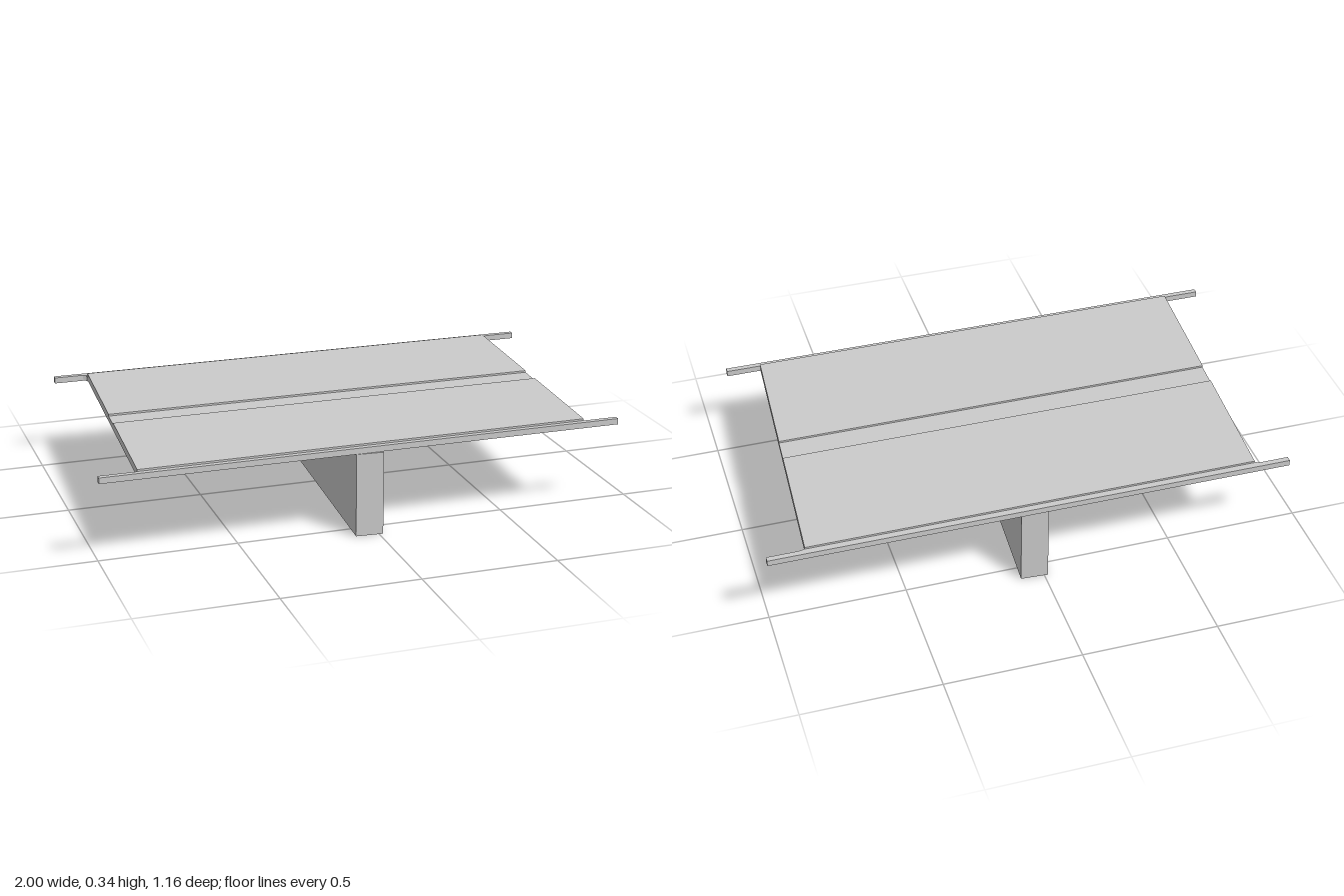
import * as THREE from 'three';

const BOTTOM = 0.308, BEAM_TOP = 0.33, DECK_TOP = 0.337;
const SKEW = 0.06; // sideways shift of the deck per unit of depth

export function createModel() {
  const model = new THREE.Group();
  const material = new THREE.MeshStandardMaterial({ color: 0xcccccc, flatShading: true });

  function add(name, geometry) {
    const mesh = new THREE.Mesh(geometry, material);
    mesh.name = name;
    model.add(mesh);
    return mesh;
  }

  function addBox(name, x0, x1, y0, y1, z0, z1) {
    const mesh = add(name, new THREE.BoxGeometry(x1 - x0, y1 - y0, z1 - z0));
    mesh.position.set((x0 + x1) / 2, (y0 + y1) / 2, (z0 + z1) / 2);
    return mesh;
  }

  // Deck slab: cross-section with a shallow central channel, swept in x and skewed
  const section = new THREE.Shape([
    [-0.551, BOTTOM], [0.556, BOTTOM], [0.556, DECK_TOP], [0.047, DECK_TOP],
    [0.047, BEAM_TOP], [-0.053, BEAM_TOP], [-0.053, DECK_TOP], [-0.551, DECK_TOP],
  ].map(([x, y]) => new THREE.Vector2(x, y)));
  const deck = new THREE.ExtrudeGeometry(section, { depth: 1.66, bevelEnabled: false });
  deck.translate(0, 0, -0.83).rotateY(Math.PI / 2);
  const p = deck.attributes.position;
  for (let i = 0; i < p.count; i++) p.setX(i, p.getX(i) - SKEW * p.getZ(i));
  deck.computeVertexNormals();
  add('deck', deck);

  // Edge beams overhanging the deck at both ends
  addBox('frontEdgeBeam', -1, 0.926, BOTTOM, BEAM_TOP, 0.551, 0.571);
  addBox('backEdgeBeam', -0.924, 1, BOTTOM, BEAM_TOP, -0.581, -0.56);

  // Strip joining deck and back beam, with small corner gussets
  const strip = new THREE.Shape([
    [-0.798, 0.545], [0.862, 0.545], [0.866, 0.556], [0.89, 0.561], [-0.815, 0.561], [-0.8, 0.554],
  ].map(([x, y]) => new THREE.Vector2(x, y)));
  const joint = new THREE.ExtrudeGeometry(strip, { depth: BEAM_TOP - BOTTOM, bevelEnabled: false });
  joint.rotateX(-Math.PI / 2);
  add('backJoint', joint).position.y = BOTTOM;

  // Wall pier turned to follow the skew
  const pier = addBox('pier', -0.05, 0.05, 0, BOTTOM, -0.5715, 0.5715);
  pier.position.set(0.001, BOTTOM / 2, 0.006);
  pier.rotation.y = -0.063;

  return model;
}
